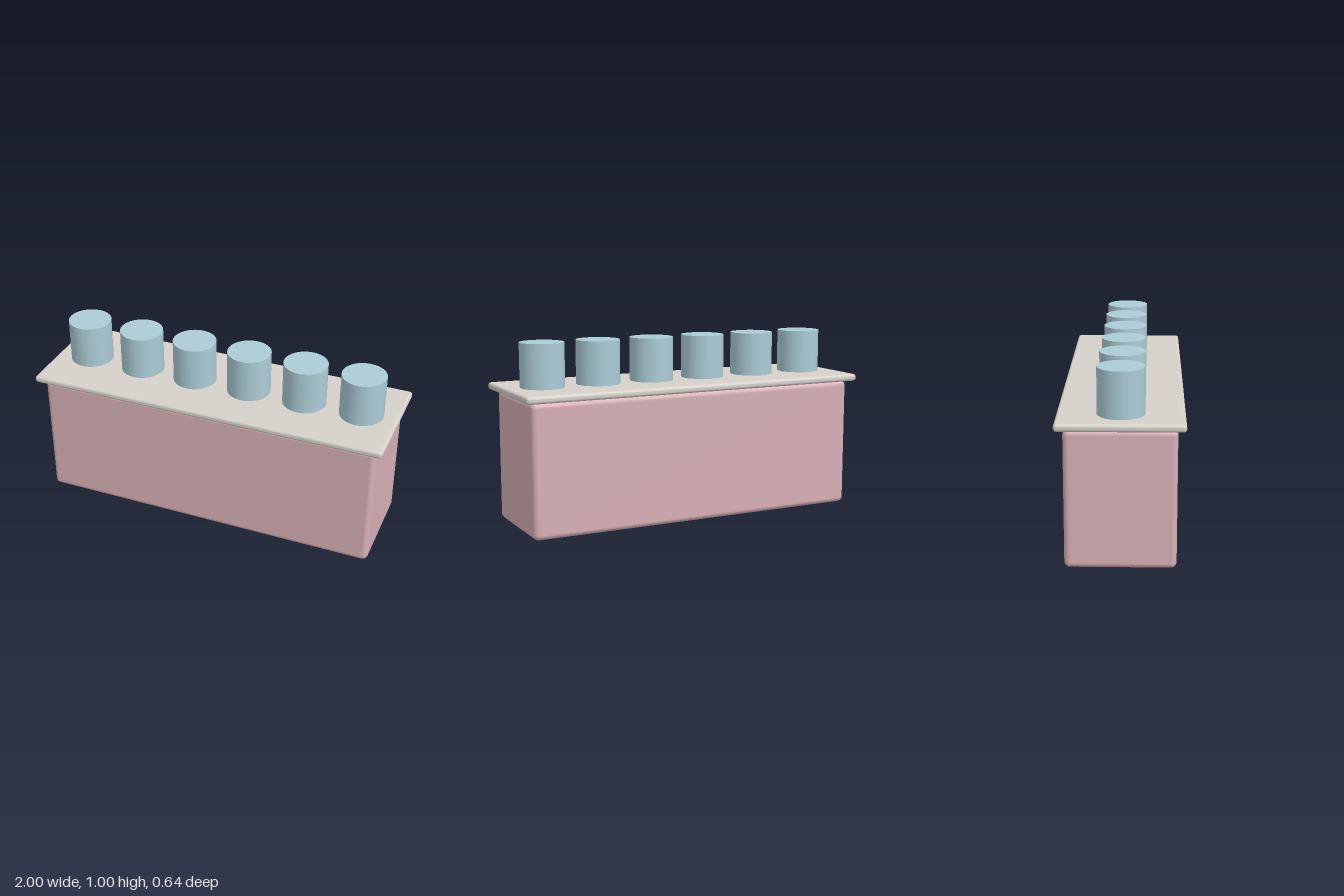
import * as THREE from 'three';
import { RoundedBoxGeometry } from 'three/addons/geometries/RoundedBoxGeometry.js';

function material(name, color) {
  const m = new THREE.MeshStandardMaterial({ color });
  m.name = name;
  return m;
}

export function createModel() {
  const group = new THREE.Group();
  const pink = material('dusty pink', 0xd8b0b6);
  const stone = material('warm stone', 0xd6d1ca);
  const blue = material('pale blue', 0xacccd6);

  function add(name, geometry, mat, x, y) {
    const mesh = new THREE.Mesh(geometry, mat);
    mesh.name = name;
    mesh.position.set(x, y, 0);
    group.add(mesh);
  }

  // Softly rounded base block
  add('body', new RoundedBoxGeometry(1.92, 0.72, 0.56, 3, 0.03), pink, 0, 0.36);

  // Thin overhanging top with rounded rim
  add('topSlab', new RoundedBoxGeometry(2, 0.04, 0.64, 3, 0.016), stone, 0, 0.74);

  // Row of six posts standing on the slab
  const post = new THREE.CylinderGeometry(0.12, 0.12, 0.24, 32);
  for (let i = 0; i < 6; i++) {
    add(`post${i + 1}`, post, blue, -0.8 + i * 0.32, 0.88);
  }

  return group;
}
